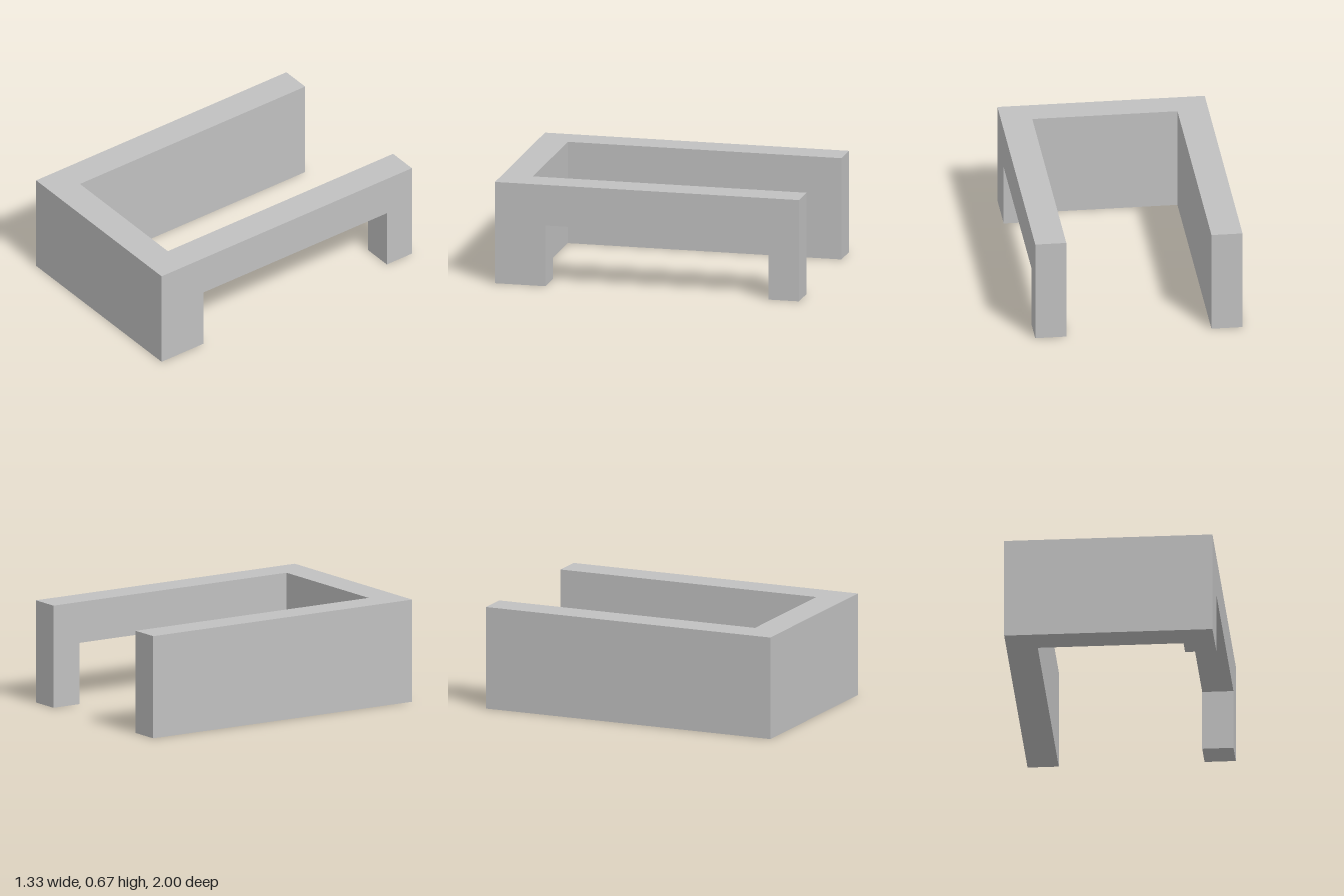
import * as THREE from 'three';

export function createModel() {
  const model = new THREE.Group();
  const grey = new THREE.MeshStandardMaterial({ color: 0xc0c0c0 });
  grey.name = 'light grey';

  const W = 0.667, H = 0.667, T = 0.2; // half width, height, wall thickness

  // U-shaped plan, extruded upward between two heights
  const slab = (name, points, y0, y1) => {
    const shape = new THREE.Shape(points.map(([x, z]) => new THREE.Vector2(x, -z)));
    const geometry = new THREE.ExtrudeGeometry(shape, { depth: y1 - y0, bevelEnabled: false });
    geometry.rotateX(-Math.PI / 2).translate(0, y0, 0);
    const mesh = new THREE.Mesh(geometry, grey);
    mesh.name = name;
    model.add(mesh);
  };

  const inner = W - T, top = 0.4, openFront = 0.667, openBack = -0.8;

  // Upper band: the full U, open at the back
  slab('upperFrame', [
    [-W, 1], [W, 1], [W, -1], [inner, -1], [inner, 0.8], [-inner, 0.8], [-inner, -1], [-W, -1],
  ], top, H);

  // Lower band: solid right wall and front wall, with a short return at the left corner
  slab('lowerWalls', [
    [-W, 1], [W, 1], [W, openFront], [inner, openFront], [inner, 0.8], [-inner, 0.8], [-inner, -1], [-W, -1],
  ], 0, top);

  // Back post that closes the opening in the left wall
  slab('backPost', [[inner, openBack], [W, openBack], [W, -1], [inner, -1]], 0, top);

  return model;
}
